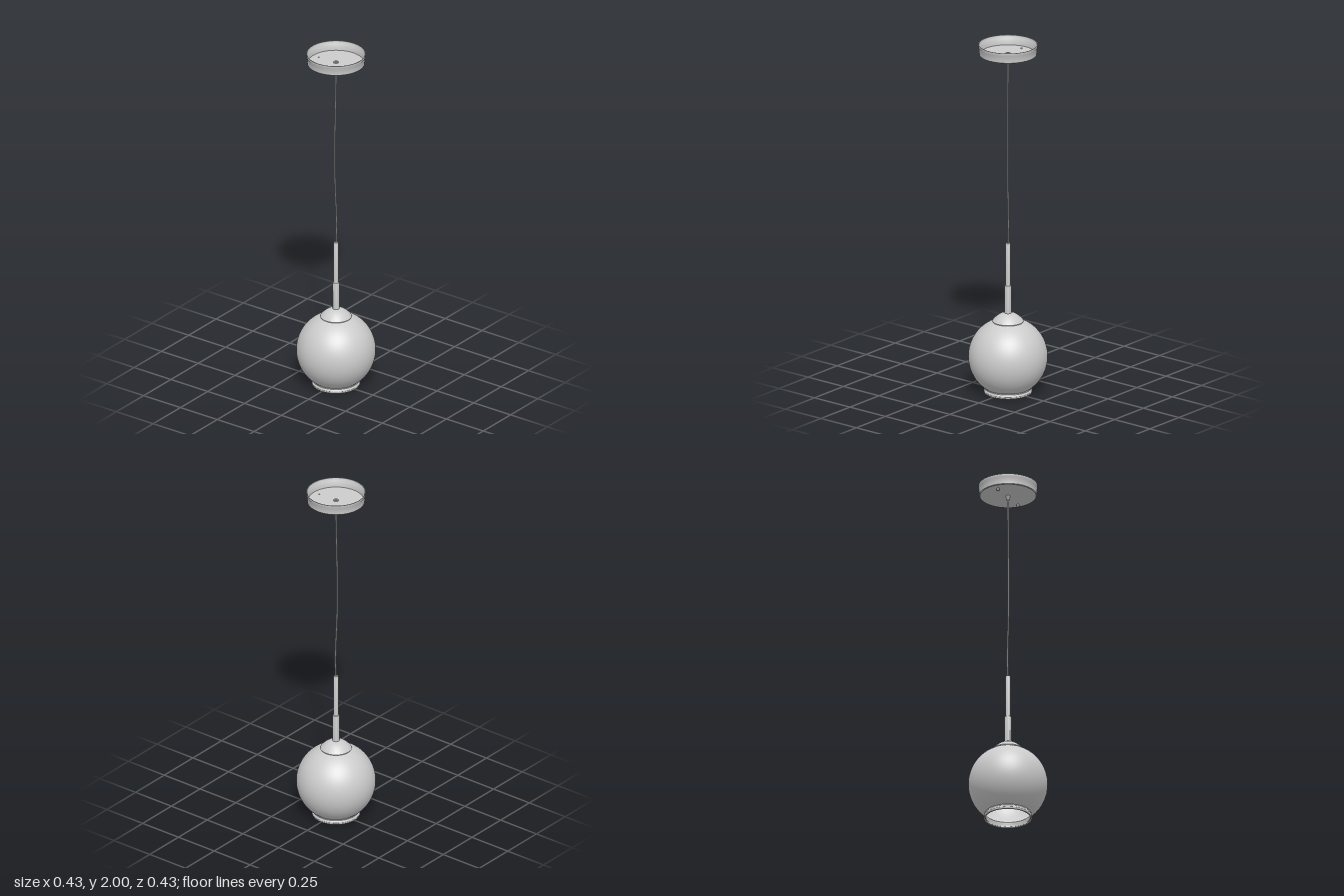
import * as THREE from 'three';
import { toCreasedNormals } from 'three/addons/utils/BufferGeometryUtils.js';

const grey = new THREE.MeshStandardMaterial({ color: 0xcccccc });
grey.name = 'light grey';

export function createModel() {
  const group = new THREE.Group();
  const add = (name, geometry) => {
    const mesh = new THREE.Mesh(geometry, grey);
    mesh.name = name;
    group.add(mesh);
    return mesh;
  };
  // Revolved part; the profile runs up the outside and back down the inside
  const lathe = (name, profile, segments = 64) => add(name, toCreasedNormals(
    new THREE.LatheGeometry(profile.map(([r, y]) => new THREE.Vector2(r, y)), segments), 0.6));
  // Points along a circular arc, angles in radians from the equator
  const arc = (radius, cy, from, to, steps) => Array.from({ length: steps + 1 }, (_, i) => {
    const a = from + (to - from) * i / steps;
    return [radius * Math.cos(a), cy + radius * Math.sin(a)];
  });

  // Ceiling canopy: shallow cup, open at the top
  lathe('canopy', [
    [0.008, 1.94], [0.153, 1.94], [0.157, 1.943], [0.158, 1.98], [0.162, 1.986], [0.162, 2],
    [0.159, 2], [0.158, 1.986], [0.154, 1.98], [0.153, 1.945], [0.008, 1.945], [0.008, 1.94],
  ], 96);

  // Cable grip through the canopy floor
  lathe('cableGrip', [
    [0.005, 1.916], [0.009, 1.916], [0.012, 1.921], [0.012, 1.94], [0.013, 1.945],
    [0.013, 1.951], [0.006, 1.951], [0.005, 1.916],
  ], 32);

  // Two canopy screws
  for (const side of [-1, 1]) {
    lathe(side > 0 ? 'leftScrew' : 'rightScrew', [
      [0, 1.924], [0.008, 1.924], [0.009, 1.927], [0.009, 1.933],
      [0.005, 1.934], [0.005, 1.948], [0, 1.948],
    ], 20).position.x = side * 0.117;
  }

  // Slightly wavy hanging cord
  const cord = new THREE.CatmullRomCurve3([
    [0, 1.95, 0], [0, 1.85, 0], [-0.002, 1.65, 0.003], [-0.005, 1.4, 0.006],
    [-0.003, 1.2, 0.004], [0, 1.05, -0.002], [0.001, 0.95, -0.004], [0, 0.84, 0],
  ].map((p) => new THREE.Vector3(...p)));
  add('cord', new THREE.TubeGeometry(cord, 60, 0.0045, 12));

  // Stem and the wider sleeve below it
  lathe('stem', [[0, 0.6], [0.013, 0.6], [0.013, 0.852], [0.012, 0.855], [0, 0.855]], 32);
  lathe('sleeve', [[0, 0.44], [0.019, 0.44], [0.019, 0.608], [0.017, 0.611], [0, 0.611]], 32);

  // Domed cap over the neck of the globe
  lathe('cap', [
    [0, 0.405], [0.084, 0.405], [0.086, 0.409], [0.083, 0.414], [0.07, 0.427],
    [0.055, 0.44], [0.04, 0.449], [0.025, 0.454], [0, 0.456],
  ]);

  // Hollow globe with a flared lip around the bottom opening
  lathe('globeShade', [
    [0.121, 0.006], [0.13, 0.006], [0.132, 0.01], [0.131, 0.016], [0.126, 0.022],
    ...arc(0.217, 0.205, -0.95, 1.3, 40),
    ...arc(0.211, 0.205, 1.3, -0.96, 40),
    [0.12, 0.024], [0.123, 0.016], [0.121, 0.006],
  ], 80);
  // Rim bead at the very bottom
  lathe('shadeRim', [
    [0.122, 0.001], [0.124, 0], [0.13, 0], [0.132, 0.003], [0.132, 0.009],
    [0.122, 0.009], [0.122, 0.001],
  ], 80);

  return group;
}
